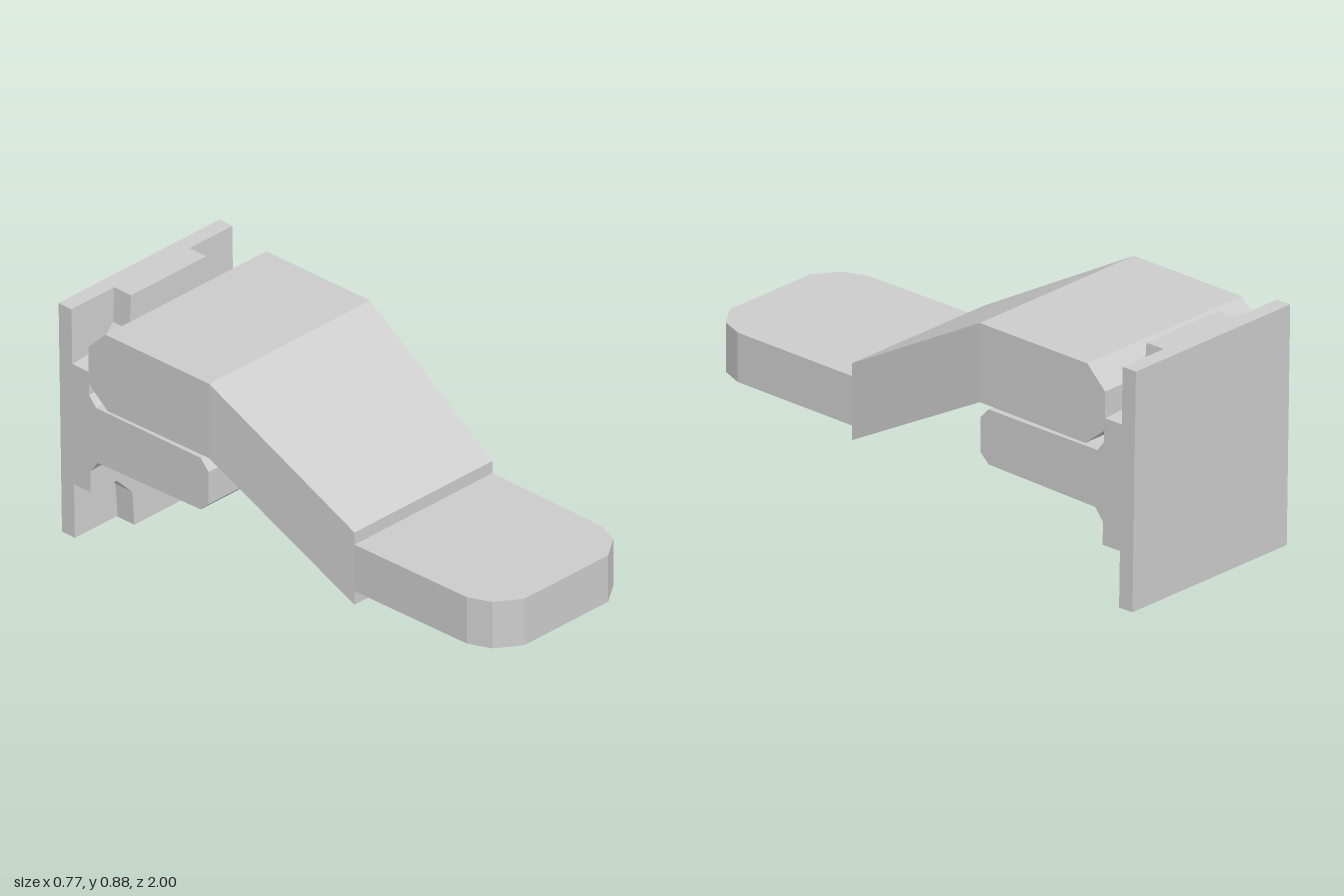
import * as THREE from 'three';

const material = new THREE.MeshStandardMaterial({ color: 0xcccccc, flatShading: true });
const thin = new THREE.MeshStandardMaterial({ color: 0xcccccc, flatShading: true, side: THREE.DoubleSide });

const toShape = (pts) => new THREE.Shape(pts.map(([a, b]) => new THREE.Vector2(a, b)));

// Move every vertex by a rule, then refresh the normals
function deform(geometry, rule) {
  const p = geometry.attributes.position;
  const v = new THREE.Vector3();
  for (let i = 0; i < p.count; i++) {
    rule(v.fromBufferAttribute(p, i));
    p.setXYZ(i, v.x, v.y, v.z);
  }
  geometry.computeVertexNormals();
  return geometry;
}

// Extrude a [z, y] side profile across x, with the half width given as a function of z
function sideExtrusion(pts, halfWidth) {
  const g = new THREE.ExtrudeGeometry(toShape(pts), { depth: 2, bevelEnabled: false });
  g.translate(0, 0, -1).rotateY(-Math.PI / 2);
  return deform(g, (v) => { v.x *= halfWidth(v.z); });
}

export function createModel() {
  const group = new THREE.Group();
  const add = (name, geometry, mat = material) => {
    const mesh = new THREE.Mesh(geometry, mat);
    mesh.name = name;
    group.add(mesh);
  };
  const W = 0.385;

  // Wall plate, leaning back slightly
  const lean = (v) => { v.z -= 0.018 * v.y; };
  const plate = new THREE.BoxGeometry(2 * W, 0.88, 0.06);
  add('backPlate', deform(plate.translate(0, 0.443, -0.953), lean));

  // Raised cross on the plate: full-width middle, narrow tabs, chamfered inner corners
  const quarter = [[0.18, 0.0], [0.188, 0.13], [0.26, 0.202], [W, 0.21]];
  const right = [...quarter, ...quarter.map(([x, y]) => [x, 0.883 - y]).reverse()];
  const cross = [...right, ...right.map(([x, y]) => [-x, y]).reverse()];
  const crossGeo = new THREE.ExtrudeGeometry(toShape(cross), { depth: 0.085, bevelEnabled: false });
  add('plateCross', deform(crossGeo.translate(0, 0, -0.93), lean));

  // Support tongue under the arm, flaring where it meets the plate
  add('supportTongue', sideExtrusion([
    [-0.9, 0.28], [-0.853, 0.29], [-0.815, 0.338], [-0.335, 0.355], [-0.298, 0.39],
    [-0.298, 0.515], [-0.335, 0.555], [-0.825, 0.548], [-0.855, 0.585], [-0.9, 0.6],
  ], () => W));

  // Level rear part of the arm with chamfered back edges
  add('rearArm', sideExtrusion([
    [-0.295, 0.57], [-0.295, 0.858], [-0.78, 0.85], [-0.86, 0.77], [-0.86, 0.63], [-0.77, 0.558],
  ], () => W));

  // Sloping part of the arm, tapering to the front
  add('slopingArm', sideExtrusion([
    [-0.295, 0.57], [0.33, 0.235], [0.33, 0.515], [-0.295, 0.858],
  ], (z) => W - (0.055 * (z + 0.295)) / 0.625));

  // Foot pad: a thin shell, open underneath, with rounded front corners
  const edge = [[0.33, 0.33], [0.325, 0.85], [0.29, 0.935], [0.2, 0.998]];
  const outline = [...edge, ...edge.map(([x, z]) => [-x, z]).reverse()];
  const rise = (z) => 0.015 * (z - 0.33);

  const top = new THREE.ShapeGeometry(toShape(outline.map(([x, z]) => [x, -z])));
  top.rotateX(-Math.PI / 2);
  add('padTop', deform(top, (v) => { v.y = 0.468 + rise(v.z); }), thin);

  const position = [];
  for (let i = 0; i < outline.length - 1; i++) {
    const [[ax, az], [bx, bz]] = [outline[i], outline[i + 1]];
    const a0 = [ax, 0.288 + rise(az), az], a1 = [ax, 0.468 + rise(az), az];
    const b0 = [bx, 0.288 + rise(bz), bz], b1 = [bx, 0.468 + rise(bz), bz];
    position.push(...a0, ...a1, ...b1, ...a0, ...b1, ...b0);
  }
  const wall = new THREE.BufferGeometry();
  wall.setAttribute('position', new THREE.Float32BufferAttribute(position, 3));
  wall.computeVertexNormals();
  add('padWall', wall, thin);

  return group;
}
